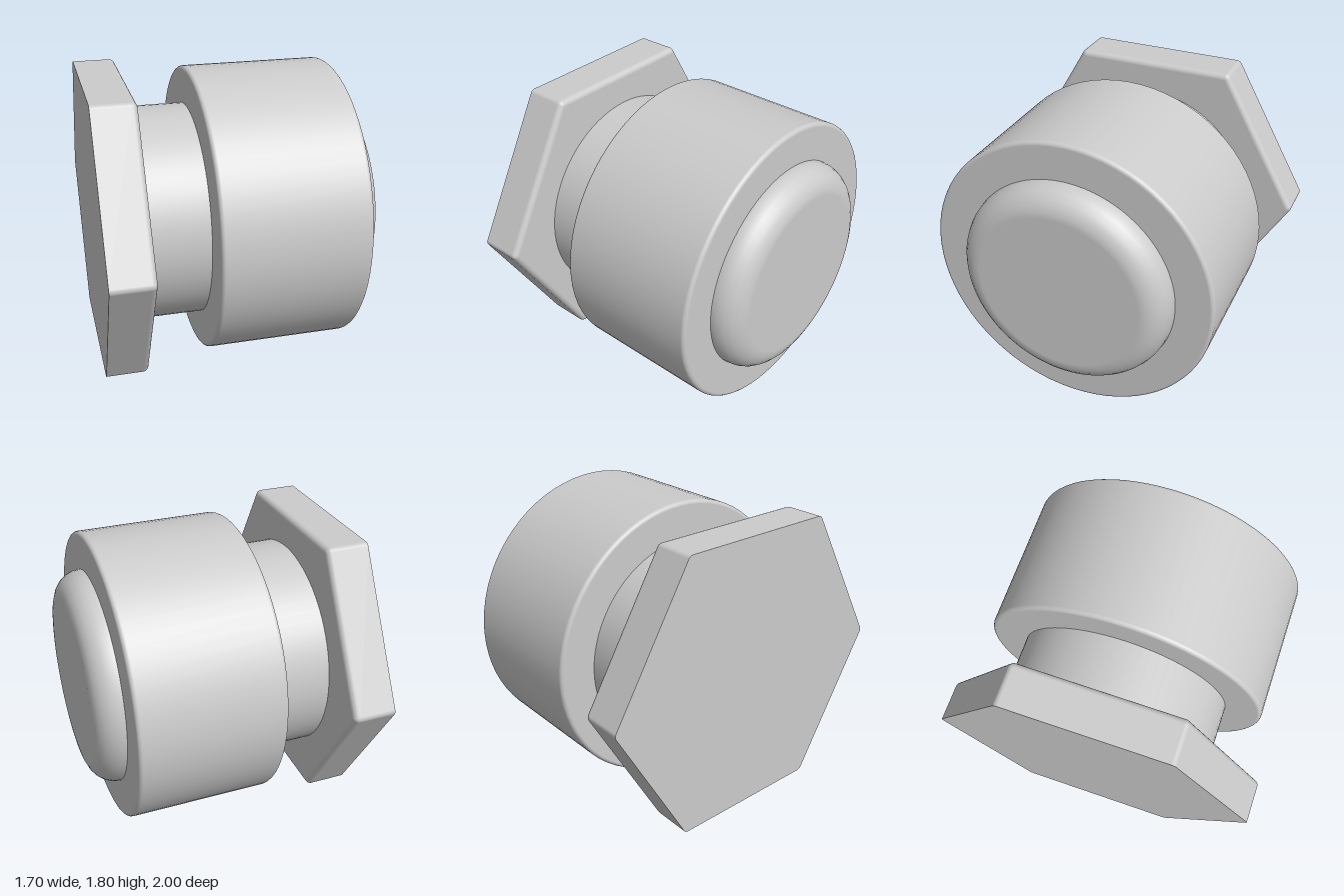
import * as THREE from 'three';

const STEPS = 6; // segments per rounded edge

// Outline around the x axis: each entry has a core point and an outward direction
function circleOutline(coreRadius, segments = 72) {
  return Array.from({ length: segments }, (_, i) => {
    const a = (i / segments) * Math.PI * 2;
    const dir = [Math.cos(a), Math.sin(a)];
    return { core: dir.map((v) => v * coreRadius), dir };
  });
}

function hexOutline(cornerRadius) {
  const outline = [];
  for (let k = 0; k < 6; k++) {
    const c = Math.PI / 2 + (k * Math.PI) / 3;
    for (let i = 0; i <= STEPS; i++) {
      const a = c + (i / STEPS - 0.5) * (Math.PI / 3);
      outline.push({
        core: [Math.cos(c) * cornerRadius, Math.sin(c) * cornerRadius],
        dir: [Math.cos(a), Math.sin(a)],
      });
    }
  }
  return outline;
}

// Solid plate along x with edge radius f at the +x end and, if asked, at the -x end
function roundedPlate(outline, x0, x1, f, roundBack) {
  // rows: core scale, outward offset, x, normal x, normal outward
  const rows = [[0, 0, x0, -1, 0]];
  if (roundBack) {
    for (let i = 0; i <= STEPS; i++) {
      const t = (i / STEPS) * Math.PI / 2;
      rows.push([1, f * Math.sin(t), x0 + f - f * Math.cos(t), -Math.cos(t), Math.sin(t)]);
    }
  } else {
    rows.push([1, f, x0, -1, 0], [1, f, x0, 0, 1]);
  }
  for (let i = 0; i <= STEPS; i++) {
    const t = (i / STEPS) * Math.PI / 2;
    rows.push([1, f * Math.cos(t), x1 - f + f * Math.sin(t), Math.sin(t), Math.cos(t)]);
  }
  rows.push([0, 0, x1, 1, 0]);

  const positions = [], normals = [], index = [];
  const n = outline.length;
  rows.forEach(([s, off, x, nx, nr], r) => {
    outline.forEach(({ core, dir }, j) => {
      positions.push(x, core[0] * s + dir[0] * off, core[1] * s + dir[1] * off);
      normals.push(nx, dir[0] * nr, dir[1] * nr);
      if (r === rows.length - 1) return;
      const a = r * n + j, b = r * n + ((j + 1) % n);
      index.push(a, b, a + n, b, b + n, a + n);
    });
  });
  const g = new THREE.BufferGeometry();
  g.setAttribute('position', new THREE.Float32BufferAttribute(positions, 3));
  g.setAttribute('normal', new THREE.Float32BufferAttribute(normals, 3));
  g.setIndex(index);
  return g;
}

export function createModel() {
  const group = new THREE.Group();
  const material = new THREE.MeshStandardMaterial({ color: 0xcccccc });
  const add = (name, geometry) => {
    const mesh = new THREE.Mesh(geometry, material);
    mesh.name = name;
    mesh.position.y = 0.9;
    group.add(mesh);
  };

  // Hexagonal head, sharp on its outer face
  add('hexHead', roundedPlate(hexOutline(0.965), -0.85, -0.585, 0.035, false));
  // Shank running through the collar and ending in a rounded tip
  add('shank', roundedPlate(circleOutline(0.67 - 0.16), -0.6, 0.845, 0.16, false));
  // Wide collar with softened edges
  add('collar', roundedPlate(circleOutline(0.9 - 0.025), -0.213, 0.685, 0.025, true));

  return group;
}
